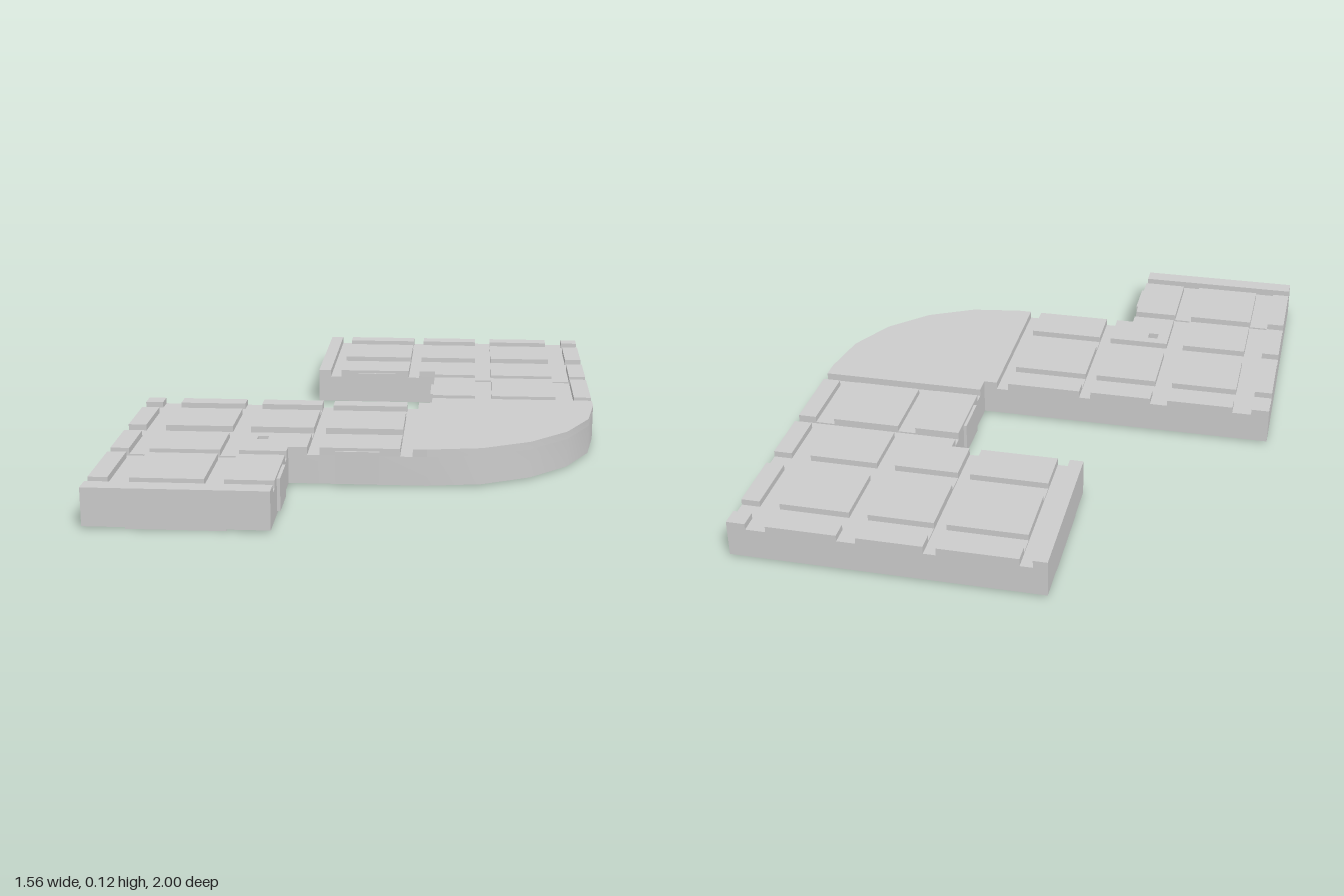
import * as THREE from 'three';
import { toCreasedNormals } from 'three/addons/utils/BufferGeometryUtils.js';

const material = new THREE.MeshStandardMaterial({ color: 0xcccccc });
const BOTTOM = 0.005, GROOVE = 0.1, VALLEY = 0.105, TOP = 0.125;

const rect = (x0, x1, z0, z1) => [[x0, z0], [x1, z0], [x1, z1], [x0, z1]];

// five-sided quarter bend around (0.22, 0)
const bend = (r, reverse) => {
  const pts = [];
  for (let i = 0; i <= 5; i++) {
    const a = (i / 5) * Math.PI / 2;
    pts.push([0.22 + r * Math.cos(a), r * Math.sin(a)]);
  }
  return reverse ? pts.reverse() : pts;
};

// flat plate from an outline in x, z, between two heights
function slab(name, outline, y0, y1, holes = []) {
  const toPts = (pts) => pts.map(([x, z]) => new THREE.Vector2(x, -z));
  const shape = new THREE.Shape(toPts(outline));
  holes.forEach((h) => shape.holes.push(new THREE.Path(toPts(h))));
  let geo = new THREE.ExtrudeGeometry(shape, { depth: y1 - y0, bevelEnabled: false });
  geo.rotateX(-Math.PI / 2);
  geo.translate(0, y0, 0);
  geo = toCreasedNormals(geo, 0.5);
  const mesh = new THREE.Mesh(geo, material);
  mesh.name = name;
  return mesh;
}

const pegHole = rect(0.295, 0.33, -0.555, -0.52);

// one L-shaped half of the top; the other half is mirrored in x and moved forward by 1
function tiledHalf(name, place) {
  const half = new THREE.Group();
  half.name = name;
  const add = (part, outline, y0, y1, holes = []) =>
    half.add(slab(part, outline.map(place), y0, y1, holes.map((h) => h.map(place))));

  // valley floors between the deep grooves
  add('valleyFloor', rect(-0.135, 0.12, -1, -0.44), GROOVE, VALLEY);
  add('valleyFloor', [[0.16, -1], [0.78, -1], [0.78, -0.395], [0.22, -0.395], [0.22, -0.44], [0.16, -0.44]],
    GROOVE, VALLEY, [pegHole]);
  add('valleyFloor', rect(0.22, 0.78, -0.355, -0.1), GROOVE, VALLEY);

  // full-height rails at both ends of the L
  add('endRail', rect(-0.22, -0.175, -1, -0.44), GROOVE, TOP);
  add('endRail', rect(0.22, 0.78, -0.06, 0), GROOVE, TOP);

  // raised tiles
  const columns = [[-0.135, 0.12], [0.16, 0.37], [0.43, 0.655], [0.72, 0.78]];
  const rows = [[-1, -0.94], [-0.875, -0.66]];
  for (const [x0, x1] of columns)
    for (const [z0, z1] of rows) add('tile', rect(x0, x1, z0, z1), VALLEY, TOP);
  add('tile', rect(-0.135, 0.12, -0.59, -0.44), VALLEY, TOP);
  add('cornerTile', [[0.16, -0.59], [0.37, -0.59], [0.37, -0.395], [0.22, -0.395], [0.22, -0.44], [0.16, -0.44]],
    VALLEY, TOP, [pegHole]);
  for (const [x0, x1] of columns.slice(2)) add('tile', rect(x0, x1, -0.59, -0.395), VALLEY, TOP);
  for (const [x0, x1] of [[0.22, 0.37], ...columns.slice(2)])
    add('tile', rect(x0, x1, -0.355, -0.1), VALLEY, TOP);

  // thin tabs on the inner walls
  add('sideTab', rect(-0.07, 0.07, -0.44, -0.432), 0.012, 0.115);
  add('sideTab', rect(0.21, 0.22, -0.29, -0.15), 0.012, 0.115);
  return half;
}

export function createModel() {
  const model = new THREE.Group();
  model.name = 'trackPiece';
  const backPlace = ([x, z]) => [x, z];
  const frontPlace = ([x, z]) => [-x, z + 1];

  // S-shaped body
  const outline = [
    [-0.22, -1], [0.78, -1], ...bend(0.56), [-0.22, 0.56], [-0.22, 1],
    [-0.78, 1], [-0.78, 0], [0.22, 0], [0.22, -0.44], [-0.22, -0.44],
  ];
  model.add(slab('body', outline, BOTTOM, GROOVE, [pegHole, pegHole.map(frontPlace)]));

  // smooth cap over the rounded corner
  model.add(slab('cornerCap', [[0.22, 0], ...bend(0.56)], GROOVE, TOP));

  model.add(tiledHalf('backTiles', backPlace));
  model.add(tiledHalf('frontTiles', frontPlace));

  // narrow strip that follows the S underneath
  const strip = [
    [-0.22, -0.87], [0.65, -0.87], ...bend(0.43), [-0.35, 0.43], [-0.35, 1],
    [-0.65, 1], [-0.65, 0.13], ...bend(0.13, true), [0.35, -0.57], [-0.22, -0.57],
  ];
  model.add(slab('bottomStrip', strip, 0, BOTTOM));
  return model;
}
